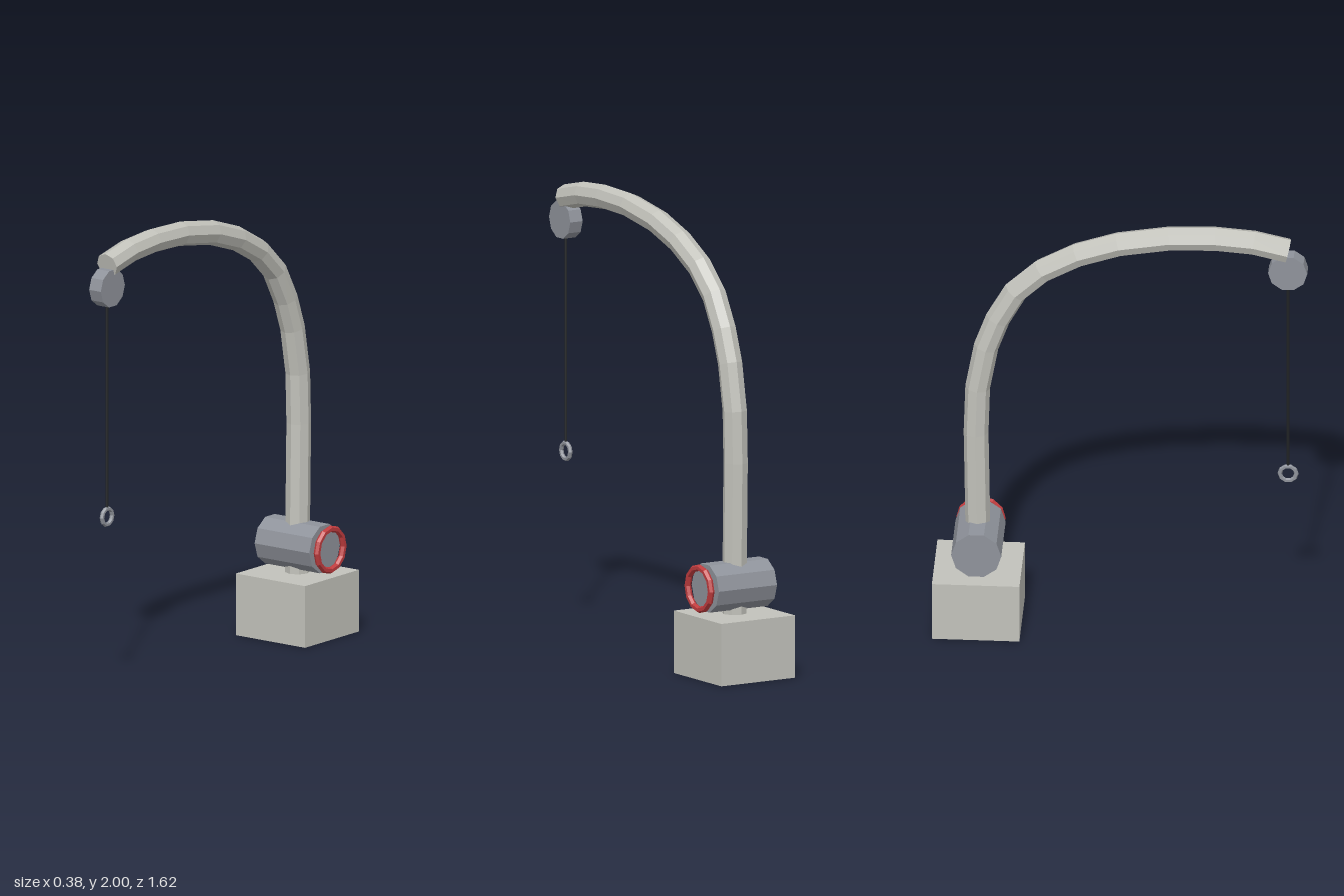
import * as THREE from 'three';

const mat = (name, color) => {
  const m = new THREE.MeshStandardMaterial({ color, flatShading: true });
  m.name = name;
  return m;
};

export function createModel() {
  const group = new THREE.Group();
  const concrete = mat('pale grey', 0xc2c2bb);
  const steel = mat('blue grey steel', 0x8f939b);
  const red = mat('red', 0xc03c3e);
  const black = mat('black', 0x222426);

  const add = (name, geometry, material, x, y, z) => {
    const mesh = new THREE.Mesh(geometry, material);
    mesh.name = name;
    mesh.position.set(x, y, z);
    group.add(mesh);
    return mesh;
  };
  const baseZ = -0.62, tipZ = 0.725;

  // Base block
  add('base', new THREE.BoxGeometry(0.38, 0.275, 0.38), concrete, 0, 0.1375, baseZ);

  // Curved arm: [z, y] stations along the centre line, one ring at each
  const stations = [
    [-0.62, 0.2], [-0.622, 0.45], [-0.626, 0.7], [-0.63, 0.94], [-0.623, 1.165],
    [-0.586, 1.37], [-0.536, 1.51], [-0.459, 1.65], [-0.342, 1.76], [-0.188, 1.845],
    [-0.01, 1.905], [0.21, 1.942], [0.41, 1.948], [0.575, 1.935], [0.725, 1.9],
  ];
  const path = new THREE.CatmullRomCurve3(stations.map(([z, y]) => new THREE.Vector3(0, y, z)));
  path.getPointAt = path.getPoint;
  path.getTangentAt = path.getTangent;
  add('arm', new THREE.TubeGeometry(path, stations.length - 1, 0.054, 8), concrete, 0, 0, 0);

  // Cap closing the arm tip
  const tip = path.getPoint(1);
  const cap = add('armTipCap', new THREE.CircleGeometry(0.054, 8), concrete, tip.x, tip.y, tip.z);
  cap.lookAt(tip.clone().add(path.getTangent(1)));

  // Winch drum and tip pulley, both with their axle along x
  const wheel = (r, w) => new THREE.CylinderGeometry(r, r, w, 10).rotateZ(Math.PI / 2);
  add('winchDrum', wheel(0.109, 0.3), steel, 0, 0.4, baseZ);
  add('pulley', wheel(0.085, 0.064), steel, 0, 1.802, tipZ);

  // Hand wheel beside the drum
  add('handWheel', new THREE.TorusGeometry(0.093, 0.0145, 6, 12).rotateY(Math.PI / 2),
    red, 0.18, 0.4, baseZ);

  // Hanging cable and its end ring
  add('cable', new THREE.CylinderGeometry(0.006, 0.006, 0.98, 6), black, 0, 1.31, tipZ);
  add('hookRing', new THREE.TorusGeometry(0.036, 0.01, 6, 10).rotateY(Math.PI / 2),
    steel, 0, 0.779, tipZ);

  return group;
}
